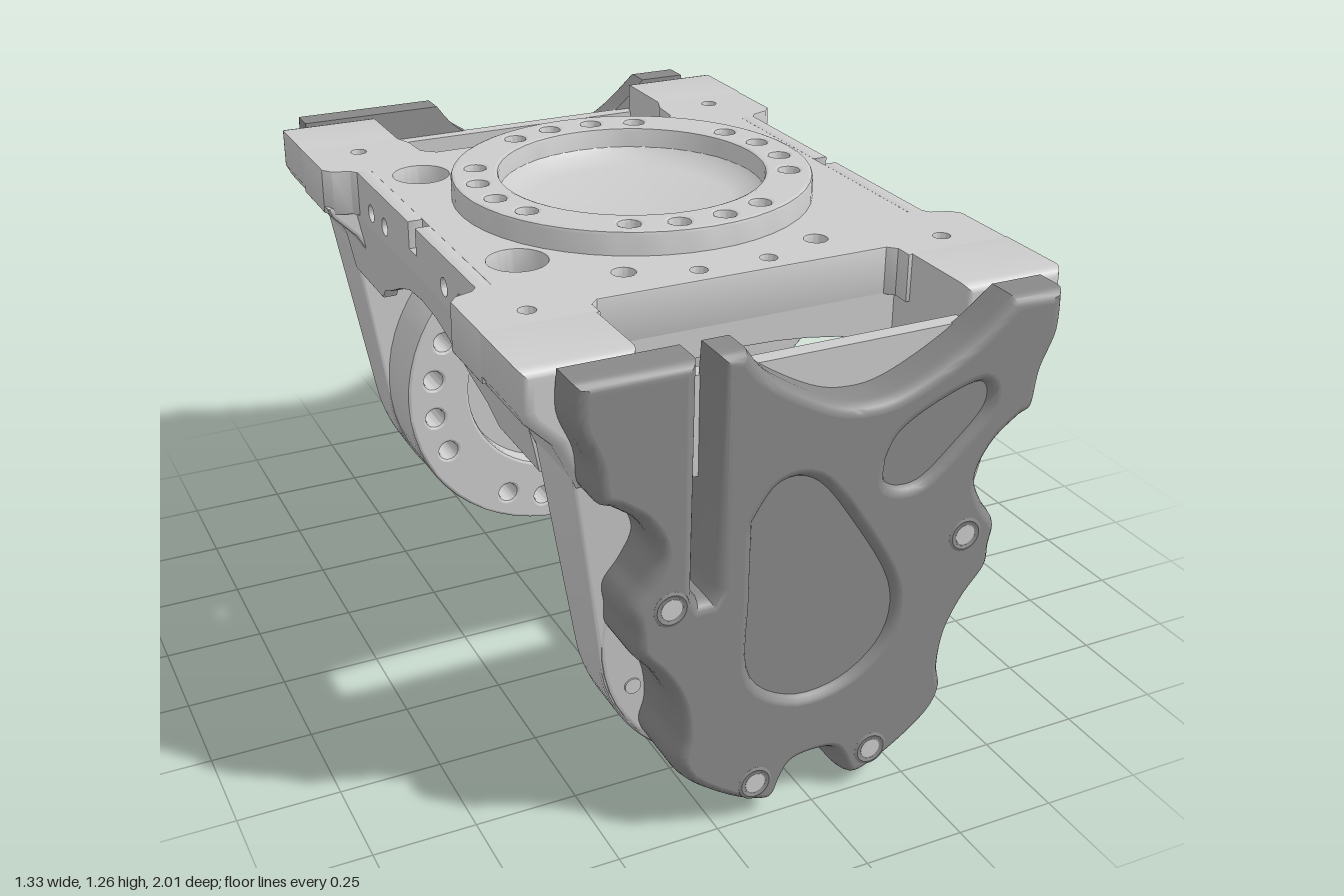
import * as THREE from 'three';
import { toCreasedNormals } from 'three/addons/utils/BufferGeometryUtils.js';

const grey = new THREE.MeshStandardMaterial({ color: 0xcccccc });
const dark = new THREE.MeshStandardMaterial({ color: 0x888888 });

const HUB_Y = 0.47;
const armFace = (y) => 0.775 + 0.11 * y; // sloped outer face of each arm
const vec = (pts, m = 1) => pts.map(([x, y]) => new THREE.Vector2(x * m, y));
const mirrorX = (pts) => pts.map(([x, y]) => [-x, y]).reverse();
const polygon = (pts) => new THREE.Shape(vec(pts));

function disc(x, y, r, Type = THREE.Path) {
  const p = new Type();
  p.absarc(x, y, r, 0, Math.PI * 2, false);
  return p;
}

// Extrusion filling z = 0..depth, bevelled inside its outline
function solid(shape, depth, bevel = 0.01, thick = bevel, segments = 2, curveSegments = 10) {
  const g = new THREE.ExtrudeGeometry(shape, {
    depth: depth - 2 * thick, bevelEnabled: bevel > 0, bevelSize: bevel, bevelThickness: thick,
    bevelOffset: -bevel, bevelSegments: segments, curveSegments,
  });
  return g.translate(0, 0, thick);
}

// Moves every z by a rule of (z, y)
function bendZ(g, rule) {
  const p = g.attributes.position;
  for (let i = 0; i < p.count; i++) p.setZ(i, rule(p.getZ(i), p.getY(i)));
  return g;
}

// Smooth sides with sharp creases; extrusion caps stay flat
function add(parent, name, geometry, material = grey) {
  geometry.computeVertexNormals();
  const flat = geometry.attributes.normal.array.slice();
  const g = toCreasedNormals(geometry, 0.65);
  if (geometry.type === 'ExtrudeGeometry') {
    const { start, count } = g.groups[0];
    g.attributes.normal.array.set(flat.subarray(start * 3, (start + count) * 3), start * 3);
  }
  const mesh = new THREE.Mesh(g, material);
  mesh.name = name;
  parent.add(mesh);
}

// Flat layer: shape is drawn in (x, z), top at y
const layer = (shape, top, depth, bevel) =>
  solid(shape, depth, bevel, bevel, 2, 24).rotateX(Math.PI / 2).translate(0, top, 0);

// Cylinder along z, ending at z
const pin = (x, y, z, r, length) =>
  new THREE.CylinderGeometry(r, r, length, 20).rotateX(Math.PI / 2).translate(x, y, z - length / 2);

// Sixteen bolt positions in four groups of four
function boltCircle(r, cy = 0) {
  const out = [];
  for (let side = 0; side < 4; side++)
    for (const a of [-26, -8.7, 8.7, 26]) {
      const t = (side * Math.PI) / 2 + THREE.MathUtils.degToRad(a);
      out.push([r * Math.cos(t), cy + r * Math.sin(t)]);
    }
  return out;
}

function coverShape(m, slotted) {
  const side = [[0.59, 1.1], [0.555, 1.01], [0.54, 0.92], [0.5, 0.895], [0.44, 0.845], [0.405, 0.77],
    [0.43, 0.7], [0.468, 0.64], [0.462, 0.58], [0.455, 0.52], [0.4, 0.45], [0.36, 0.37],
    [0.348, 0.28], [0.358, 0.21], [0.32, 0.14], [0.22, 0.065], [0.13, 0.025], [0.09, 0.04], [0.068, 0.09], [0.04, 0.12]];
  const s = new THREE.Shape();
  s.moveTo(0.59 * m, 1.2);
  s.splineThru(vec([...side, ...mirrorX(side), [-0.59, 1.2]], m));
  if (slotted)
    for (const [x, y] of [[-0.315, 1.2], [-0.315, 0.65], [-0.3, 0.625], [-0.28, 0.625], [-0.265, 0.65], [-0.265, 1.2]])
      s.lineTo(x * m, y);
  s.lineTo(-0.2 * m, 1.2);
  s.splineThru(vec([[-0.14, 1.13], [0, 1.045], [0.1, 1.02], [0.2, 1.035], [0.35, 1.11], [0.46, 1.2]], m));
  return s;
}

// Counter-clockwise pocket outlines
const pockets = [
  [[-0.17, 0.79], [-0.17, 0.6], [-0.165, 0.4], [-0.06, 0.315], [0.07, 0.325], [0.17, 0.41], [0.18, 0.54],
    [0.08, 0.72], [-0.02, 0.85], [-0.11, 0.865]],
  [[0.16, 0.87], [0.165, 0.81], [0.24, 0.8], [0.33, 0.87], [0.405, 0.95], [0.39, 1.005], [0.28, 0.975], [0.19, 0.925]],
];
function loopPoints(pts, m, grow = 1) {
  const v = vec(pts, m);
  const c = v.reduce((a, p) => a.add(p), new THREE.Vector2()).divideScalar(v.length);
  v.forEach((p) => p.sub(c).multiplyScalar(grow).add(c));
  return new THREE.SplineCurve([...v, v[0].clone()]).getPoints(48).slice(0, -1);
}

// Arm with its cover, facing +z; m mirrors x for the arm that is turned round
function createArm(name, m, open) {
  const arm = new THREE.Group();
  arm.name = name;

  // Tapered plate with a hollow between its upper corners
  const s = new THREE.Shape();
  s.moveTo(0.4, 0.98);
  for (const [x, y] of [[0.4, 1.03], [0.545, 1.03], [0.555, 0.95]]) s.lineTo(x, y);
  s.absarc(0, HUB_Y, 0.47, -0.2, -Math.PI + 0.2, true);
  for (const [x, y] of [[-0.555, 0.95], [-0.545, 1.03], [-0.4, 1.03], [-0.4, 0.98]]) s.lineTo(x, y);
  s.quadraticCurveTo(-0.38, 0.91, -0.3, 0.9);
  s.lineTo(0.3, 0.9);
  s.quadraticCurveTo(0.38, 0.91, 0.4, 0.98);
  if (open) {
    s.holes.push(disc(0, HUB_Y, 0.345));
    for (let i = 0; i < 11; i++) {
      const t = -Math.PI * (0.1 + 0.08 * i);
      s.holes.push(disc(0.41 * Math.cos(t), HUB_Y + 0.41 * Math.sin(t), 0.024));
    }
  }
  add(arm, 'armPlate', bendZ(solid(s, 0.2, 0.012, 0.012, 2, 20), (z, y) => 0.67 + (z / 0.2) * (armFace(y) - 0.67)));

  // Rounded shoulders and the thin wall joining them behind the cover
  const shoulder = [[0.4, 0.9], [0.4, 1.2], [0.665, 1.2], [0.665, 1.1], [0.65, 1.07], [0.59, 1.01], [0.56, 0.95], [0.54, 0.9]];
  for (const pts of [shoulder, mirrorX(shoulder)])
    add(arm, 'armShoulder', solid(polygon(pts), 0.255, 0.03, 0.03, 4).translate(0, 0, 0.64));
  add(arm, 'backWall', new THREE.BoxGeometry(0.86, 0.24, 0.04).translate(0, 1, 0.88));

  // Dark cover with soft pockets, flat against the arm
  const wedge = (front, flat) => (z, y) => {
    const back = armFace(y) - 0.004;
    return back + Math.max(0, (z - flat) / (0.2 - flat)) * (front - back);
  };
  const shape = coverShape(m, open);
  pockets.forEach((p) => shape.holes.push(new THREE.Path(loopPoints(p, m))));
  add(arm, 'cover', bendZ(solid(shape, 0.2, 0.03, 0.05, 5, 5), wedge(1, 0.05)), dark);
  pockets.forEach((p) => add(arm, 'pocketFloor',
    bendZ(solid(new THREE.Shape(loopPoints(p, m, 1.15)), 0.2, 0), wedge(0.98, 0)), dark));

  // Cover bolts and exposed plate screws
  for (const [x, y] of [[0.375, 0.63], [-0.375, 0.63], [0.155, 0.1], [-0.155, 0.1]]) {
    add(arm, 'boltRim', new THREE.TorusGeometry(0.036, 0.01, 8, 24).translate(x, y, 0.993), dark);
    add(arm, 'coverBolt', pin(x, y, 1.001, 0.025, 0.08));
  }
  for (const [x, y] of [[0.4, 0.475], [0.38, 0.32], [-0.38, 0.32], [0, 0.09], [-0.29, 0.98]])
    add(arm, 'plateScrew', pin(x * m, y, armFace(y) + 0.008, 0.02, 0.03));

  // Round hub: an open collar, or a drum with bolt ring, floor and shaft
  const start = open ? 0.69 : 0.5;
  const ring = disc(0, HUB_Y, 0.465, THREE.Shape);
  ring.holes.push(disc(0, HUB_Y, open ? 0.345 : 0.28));
  if (!open) ring.holes.push(...boltCircle(0.39, HUB_Y).map(([x, y]) => disc(x, y, 0.026)));
  add(arm, 'hubDrum', bendZ(solid(ring, 0.2, 0.01, 0.01, 2, 28),
    (z, y) => start + (z / 0.2) * (armFace(y) + 0.002 - start)));
  if (!open) {
    const floor = disc(0, HUB_Y, 0.3, THREE.Shape);
    for (let i = 0; i < 8; i++) {
      const t = (i * Math.PI) / 4;
      floor.holes.push(disc(0.19 * Math.cos(t), HUB_Y + 0.19 * Math.sin(t), 0.025));
    }
    add(arm, 'drumFloor', solid(floor, 0.12, 0.005).translate(0, 0, 0.56));
    add(arm, 'shaft', pin(0, HUB_Y, 0.6, 0.06, 0.095));
  }
  return arm;
}

function createTop() {
  const top = new THREE.Group();
  top.name = 'topPlate';

  // Deck with the hub opening and screw holes
  const half = [[0.37, 0.61], [0.39, 0.63], [0.39, 0.675], [0.665, 0.675], [0.665, 0.49], [0.645, 0.465], [0.6, 0.45],
    [0.585, 0.43], [0.549, 0.43], [0.549, -0.43], [0.585, -0.43], [0.6, -0.45], [0.645, -0.465], [0.665, -0.49],
    [0.665, -0.675], [0.4, -0.675], [0.38, -0.62], [0.375, -0.54], [0.34, -0.51]];
  const deck = polygon([...half, ...mirrorX(half)]);
  deck.holes.push(disc(0, 0, 0.44), disc(-0.44, -0.35, 0.072), disc(-0.44, 0.32, 0.072));
  for (const x of [-1, 1]) {
    deck.holes.push(disc(x * 0.53, 0.6, 0.02), disc(x * 0.53, -0.6, 0.02));
    deck.holes.push(disc(x * 0.25, 0.49, 0.028), disc(x * 0.09, 0.55, 0.02));
  }
  add(top, 'deck', layer(deck, 1.2, 0.12, 0.004));

  // Raised bolt ring with a shallow dish inside
  const ring = disc(0, 0, 0.455, THREE.Shape);
  ring.holes.push(disc(0, 0, 0.335), ...boltCircle(0.395).map(([x, z]) => disc(x, z, 0.025)));
  add(top, 'boltRing', layer(ring, 1.26, 0.41, 0.01));
  add(top, 'dish', new THREE.LatheGeometry(vec([[0, 1.1], [0.345, 1.1], [0.345, 1.22], [0.32, 1.19], [0.26, 1.175], [0, 1.17]]), 64));

  // Arched side walls, leaning in below, with bolt holes and a central notch
  const wall = polygon([[0.67, 0.84], [0.43, 0.84], [0.38, 0.88], [0.3, 0.91], [0.2, 0.955], [0.1, 0.99], [0, 1],
    [-0.1, 0.99], [-0.2, 0.955], [-0.3, 0.91], [-0.38, 0.88], [-0.43, 0.84], [-0.67, 0.84], [-0.67, 1.08], [-0.44, 1.08],
    [-0.44, 1.2], [-0.025, 1.2], [-0.025, 1.13], [0.025, 1.13], [0.025, 1.2], [0.44, 1.2], [0.44, 1.08], [0.67, 1.08]]);
  for (const z of [-0.33, -0.22, 0.22, 0.33]) wall.holes.push(disc(z, 1.12, 0.022));
  for (const [x, lean] of [[0.587, 0.2], [-0.547, -0.2]])
    add(top, 'sideWall', bendZ(solid(wall, 0.04, 0.004), (z, y) => z + lean * Math.max(0, 1.08 - y))
      .rotateY(-Math.PI / 2).translate(x, 0, 0));

  // Shoulder blocks carrying the arms, and arched end walls between them
  const block = [[0.4, 1.1], [0.664, 1.1], [0.65, 1.07], [0.59, 1.01], [0.555, 0.95], [0.54, 0.88], [0.52, 0.84], [0.4, 0.84]];
  for (const pts of [block, mirrorX(block)])
    for (const z of [0.465, -0.675])
      add(top, 'shoulder', solid(polygon(pts), 0.21, 0.01).translate(0, 0, z));
  const web = new THREE.Shape();
  web.moveTo(-0.42, 1.1);
  web.lineTo(-0.42, 0.95);
  web.quadraticCurveTo(0, 1.08, 0.42, 0.95);
  web.lineTo(0.42, 1.1);
  for (const [z, depth] of [[0.455, 0.155], [-0.51, 0.05]])
    add(top, 'endWall', solid(web, depth, 0.004).translate(0, 0, z));
  return top;
}

export function createModel() {
  const model = new THREE.Group();
  model.name = 'jointBracket';
  const back = createArm('backArm', -1, false);
  back.rotation.y = Math.PI;
  model.add(createTop(), createArm('frontArm', 1, true), back);
  return model;
}
